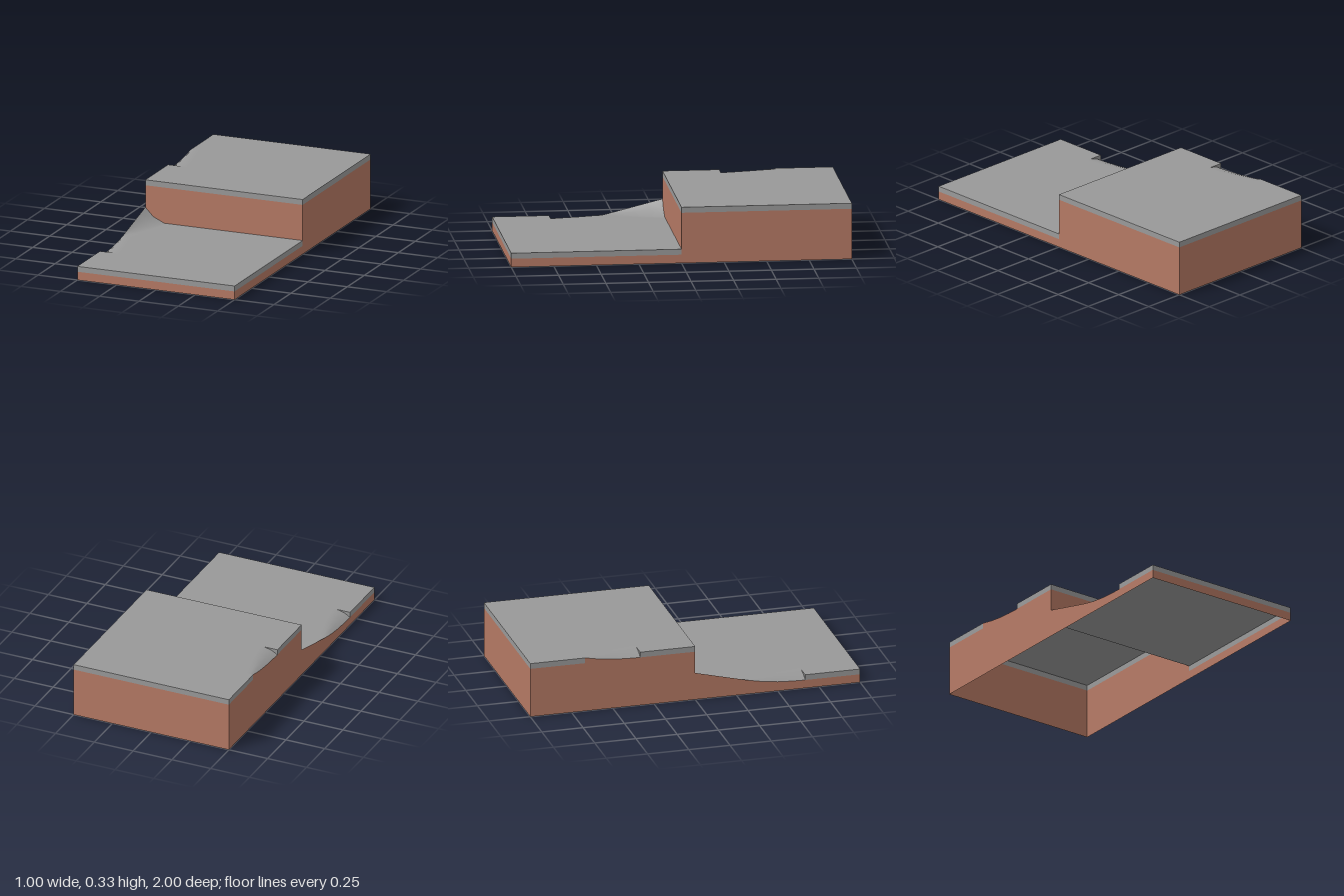
import * as THREE from 'three';

const grey = new THREE.MeshStandardMaterial({ color: 0x999999, side: THREE.DoubleSide });
grey.name = 'grey stone';
const brick = new THREE.MeshStandardMaterial({ color: 0xb57964, side: THREE.DoubleSide });
brick.name = 'red brick';

const W = 0.5, T = 1 / 3, LOW = 1 / 12, HIGH = 1 / 3, BAND = 0.033;

// Skin between successive rows of points
function loft(name, rows, material) {
  const n = rows[0].length, index = [];
  for (let i = 0; i < rows.length - 1; i++) {
    for (let j = 0; j < n - 1; j++) {
      const a = i * n + j, b = a + n;
      index.push(a, b, a + 1, a + 1, b, b + 1);
    }
  }
  const geometry = new THREE.BufferGeometry();
  geometry.setAttribute('position', new THREE.Float32BufferAttribute(rows.flat(2), 3));
  geometry.setIndex(index);
  geometry.computeVertexNormals();
  const mesh = new THREE.Mesh(geometry, material);
  mesh.name = name;
  return mesh;
}

// Cross-section over the width: bent by `h` at the worn edge, flat after `reach`
function section(z, base, h = 0, reach = 0.1) {
  return [
    [-W, base + h, z],
    [-W + reach * 0.42, base + h * 0.38, z],
    [-W + reach, base, z],
    [-W + reach + 0.03, base, z],
    [W, base, z],
  ];
}

// Vertical wall from (x0,z0) to (x1,z1), seen from the side where it runs left to right
const wall = (name, x0, z0, x1, z1, y0, y1, material) =>
  loft(name, [[[x0, y1, z0], [x0, y0, z0]], [[x1, y1, z1], [x1, y0, z1]]], material);

// Wall made of brick with a grey band on top
function bandedWall(name, x0, z0, x1, z1, y0, top) {
  const g = new THREE.Group();
  g.name = name;
  g.add(
    wall(name + 'Brick', x0, z0, x1, z1, y0, top - BAND, brick),
    wall(name + 'Band', x0, z0, x1, z1, top - BAND, top, grey),
  );
  return g;
}

// Brick wall below a worn edge
const edgeWall = (name, rows) =>
  loft(name, rows.map((r) => [r[0], [-W, 0, r[0][2]]]), brick);

// Vertical face closing the end of the worn dip
function notch(name, row, base) {
  const cut = row.slice(0, 3);
  return loft(name, [cut.map(([x, , z]) => [x, base, z]), cut], grey);
}

// Dip that sinks along the edge and ends abruptly one third further on
const dip = (z, base) => [
  section(z, base, 0, 0.02),
  section(z + T / 4, base, -0.016, 0.035),
  section(z + T / 2, base, -0.026, 0.055),
  section(z + T * 0.75, base, -0.031, 0.07),
  section(z + T, base, -BAND, 0.085),
];

export function createModel() {
  const model = new THREE.Group();
  model.name = 'steppedPlatform';

  // Lower top: raised corner by the step, then the dip, then the flat end
  const raised = [0, 0.25, 0.5, 0.75, 1].map((t) =>
    section(t * T, LOW, LOW * (1 - t), 0.12 * (1 - t) + 0.02 * t));
  const lowDip = dip(T, LOW);
  const lowWorn = [...raised, ...lowDip.slice(1)];
  model.add(
    loft('lowerTopWorn', lowWorn, grey),
    loft('lowerTopFlat', [section(2 * T, LOW), section(1, LOW)], grey),
    notch('lowerNotch', lowDip.at(-1), LOW),
    edgeWall('lowerWornWall', lowWorn),
    bandedWall('lowerNearWall', -W, 2 * T, -W, 1, 0, LOW),
  );

  // Upper top: flat end, dip, flat piece at the step
  const highDip = dip(-2 * T, HIGH);
  model.add(
    loft('upperTopBack', [section(-1, HIGH), section(-2 * T, HIGH)], grey),
    loft('upperTopWorn', highDip, grey),
    loft('upperTopFront', [section(-T, HIGH), section(0, HIGH)], grey),
    notch('upperNotch', highDip.at(-1), HIGH),
    edgeWall('upperWornWall', highDip),
    bandedWall('upperBackSideWall', -W, -1, -W, -2 * T, 0, HIGH),
    bandedWall('upperFrontSideWall', -W, -T, -W, 0, 0, HIGH),
  );

  // Straight outer walls; the underside stays open
  model.add(
    bandedWall('frontWall', -W, 1, W, 1, 0, LOW),
    bandedWall('backWall', W, -1, -W, -1, 0, HIGH),
    bandedWall('lowerSideWall', W, 1, W, 0, 0, LOW),
    bandedWall('upperSideWall', W, 0, W, -1, 0, HIGH),
  );

  // Riser between the two levels, following the raised corner
  const riserTop = HIGH - BAND;
  model.add(
    loft('riserBrick', raised[0].map((p) => [[p[0], riserTop, 0], p]), brick),
    wall('riserBand', -W, 0, W, 0, riserTop, HIGH, grey),
  );
  return model;
}
